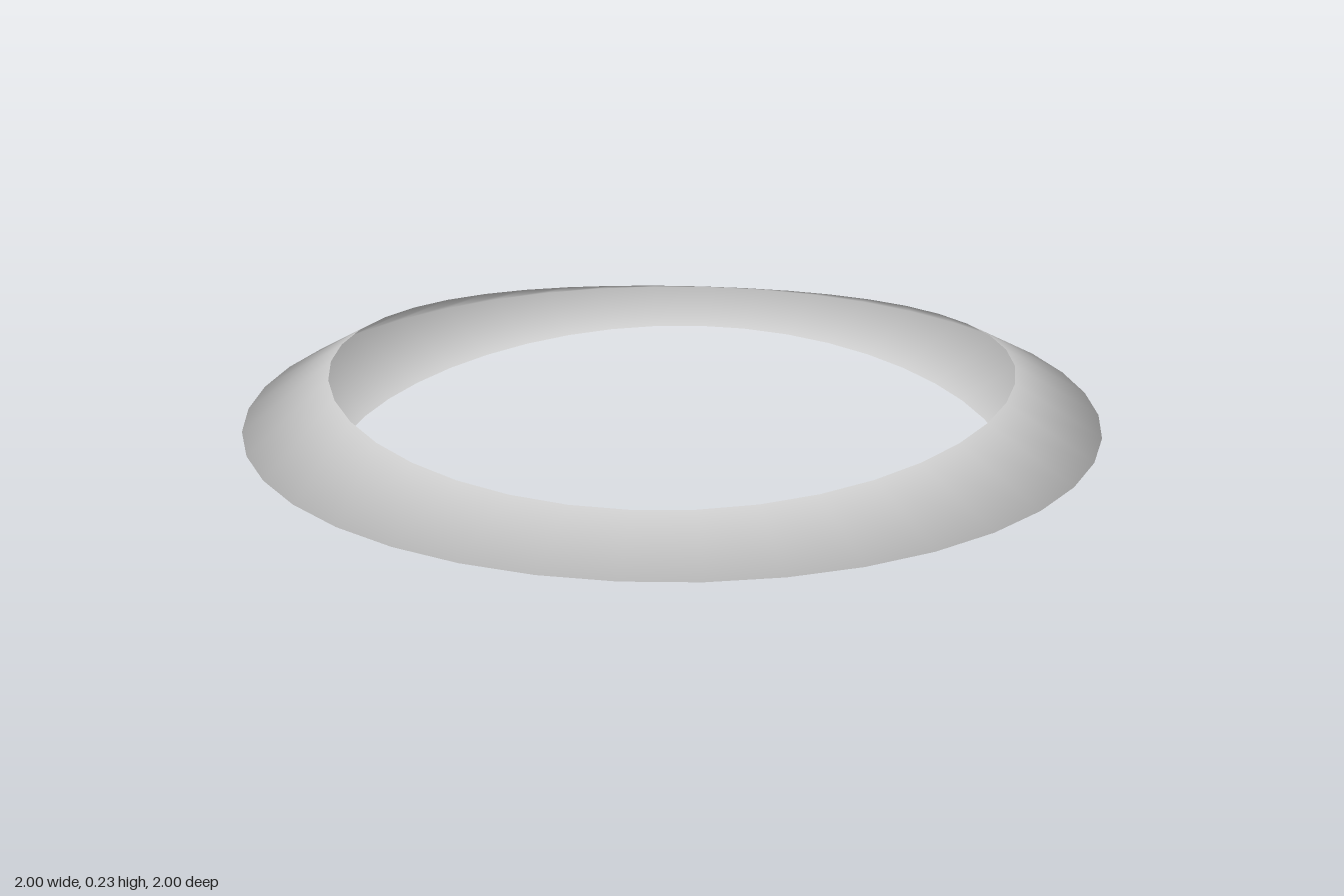
import * as THREE from 'three';

const SEGMENTS = 40, MID = 0.115, OUTER = 1, INNER = 0.8;

// Half-height of the open inner side: tallest at the sides, lowest at front and back
const halfHeight = (t) => 0.058 + 0.057 * Math.cos(t) ** 2;

// V-shaped cross-section at angle t, as [radius, height] from top edge over the rim to bottom edge
const section = (t) => [
  [INNER, MID + halfHeight(t)],
  [OUTER, MID],
  [INNER, MID - halfHeight(t)],
];

export function createModel() {
  // Sweep the section around the circle; shared vertices keep the rim smooth
  const positions = [], index = [];
  for (let i = 0; i < SEGMENTS; i++) {
    const t = (i / SEGMENTS) * Math.PI * 2;
    for (const [r, y] of section(t)) {
      positions.push(r * Math.cos(t), y, r * Math.sin(t));
    }
    for (let row = 0; row < 2; row++) {
      const a = i * 3 + row;
      const b = ((i + 1) % SEGMENTS) * 3 + row;
      index.push(a, b, a + 1, b, b + 1, a + 1);
    }
  }
  const geometry = new THREE.BufferGeometry();
  geometry.setAttribute('position', new THREE.Float32BufferAttribute(positions, 3));
  geometry.setIndex(index);
  geometry.computeVertexNormals();

  // Open shell, visible from inside as well
  const material = new THREE.MeshStandardMaterial({ color: 0xcccccc, side: THREE.DoubleSide });
  const band = new THREE.Mesh(geometry, material);
  band.name = 'ringBand';

  const ring = new THREE.Group();
  ring.name = 'ring';
  ring.add(band);
  return ring;
}
